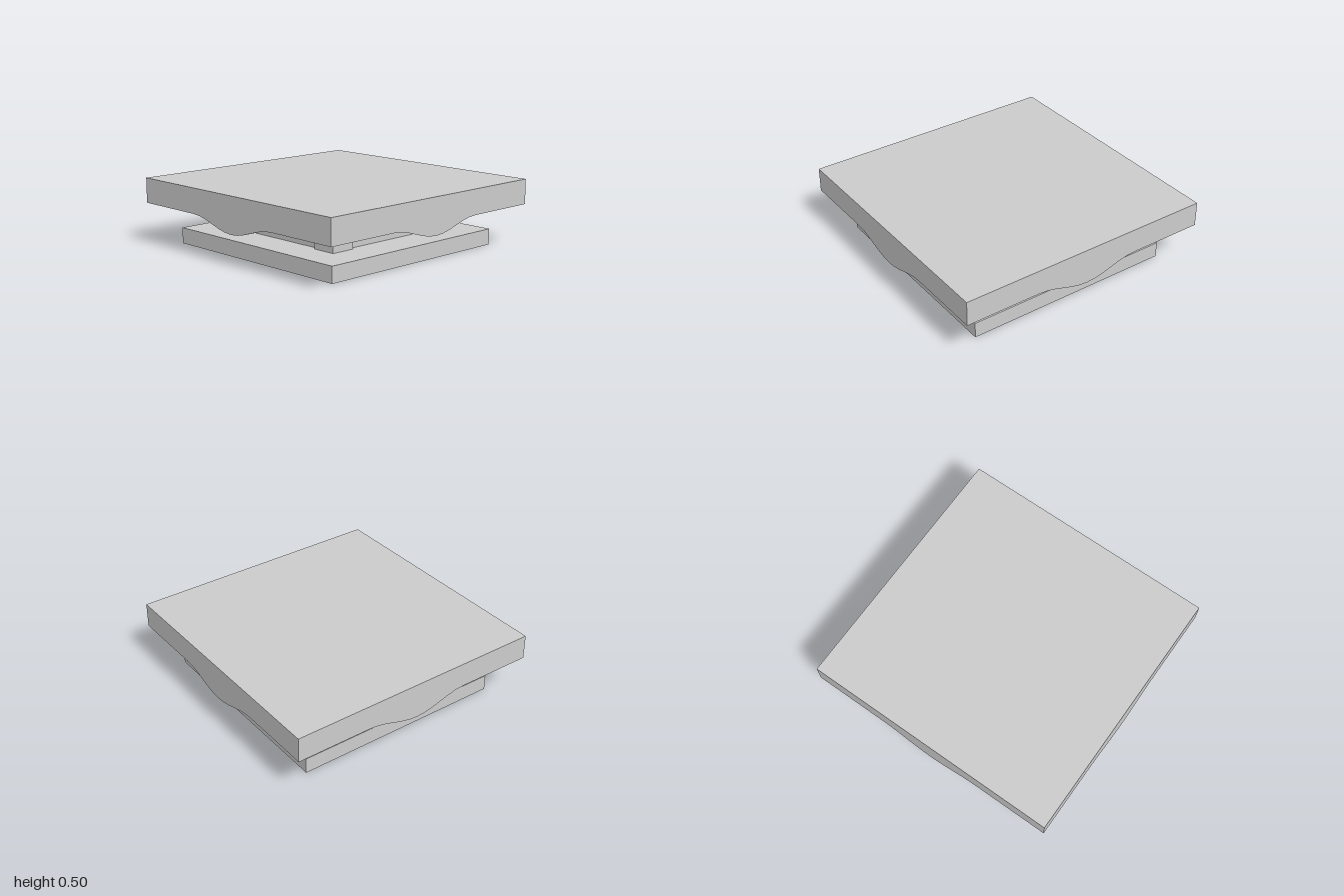
import * as THREE from 'three';

const material = new THREE.MeshStandardMaterial({ color: 0xcccccc, flatShading: true });

function add(group, name, geometry) {
  const mesh = new THREE.Mesh(geometry, material);
  mesh.name = name;
  group.add(mesh);
  return mesh;
}

function box(group, name, w, y0, y1, d, x = 0, z = 0) {
  const mesh = add(group, name, new THREE.BoxGeometry(w, y1 - y0, d));
  mesh.position.set(x, (y0 + y1) / 2, z);
  return mesh;
}

const UNDERSIDE = 0.43, APRON_BOTTOM = 0.31, APRON_THICK = 0.07;

// Apron board whose lower edge swells down in the middle
function apronGeometry(halfWidth) {
  const shape = new THREE.Shape();
  shape.moveTo(halfWidth, UNDERSIDE);
  shape.lineTo(-halfWidth, UNDERSIDE);
  shape.lineTo(-halfWidth, APRON_BOTTOM);
  const reach = 0.42, steps = 12;
  for (let i = 0; i <= steps; i++) {
    const x = -reach + (2 * reach * i) / steps;
    const dip = 0.085 * 0.5 * (1 + Math.cos((Math.PI * x) / reach));
    shape.lineTo(x, APRON_BOTTOM - dip);
  }
  shape.lineTo(halfWidth, APRON_BOTTOM);
  shape.closePath();
  const geometry = new THREE.ExtrudeGeometry(shape, { depth: APRON_THICK, bevelEnabled: false });
  return geometry.translate(0, 0, 1 - APRON_THICK);
}

// Angle-shaped corner post, outer corner at (+0.57, +0.57)
function postGeometry() {
  const a = 0.57, b = 0.38, t = 0.03;
  const shape = new THREE.Shape([
    [a, a], [b, a], [b, a - t], [a - t, a - t], [a - t, b], [a, b],
  ].map(([x, y]) => new THREE.Vector2(x, y)));
  const geometry = new THREE.ExtrudeGeometry(shape, { depth: UNDERSIDE - 0.12, bevelEnabled: false });
  return geometry.rotateX(-Math.PI / 2).translate(0, 0.12, 0);
}

export function createModel() {
  const model = new THREE.Group();
  model.name = 'lowTable';

  // Base board and the low box standing on it
  box(model, 'base', 1.63, 0, 0.12, 1.63);
  box(model, 'centralBox', 1.08, 0.12, 0.32, 1.08);

  // Table top
  box(model, 'tableTop', 2, UNDERSIDE, 0.5, 2);

  // Four aprons and four corner posts
  const post = postGeometry();
  const longApron = apronGeometry(1);
  const shortApron = apronGeometry(1 - APRON_THICK);
  for (let i = 0; i < 4; i++) {
    add(model, 'apron', i % 2 ? shortApron : longApron).rotation.y = (i * Math.PI) / 2;
    add(model, 'cornerPost', post).rotation.y = (i * Math.PI) / 2;
  }
  return model;
}
